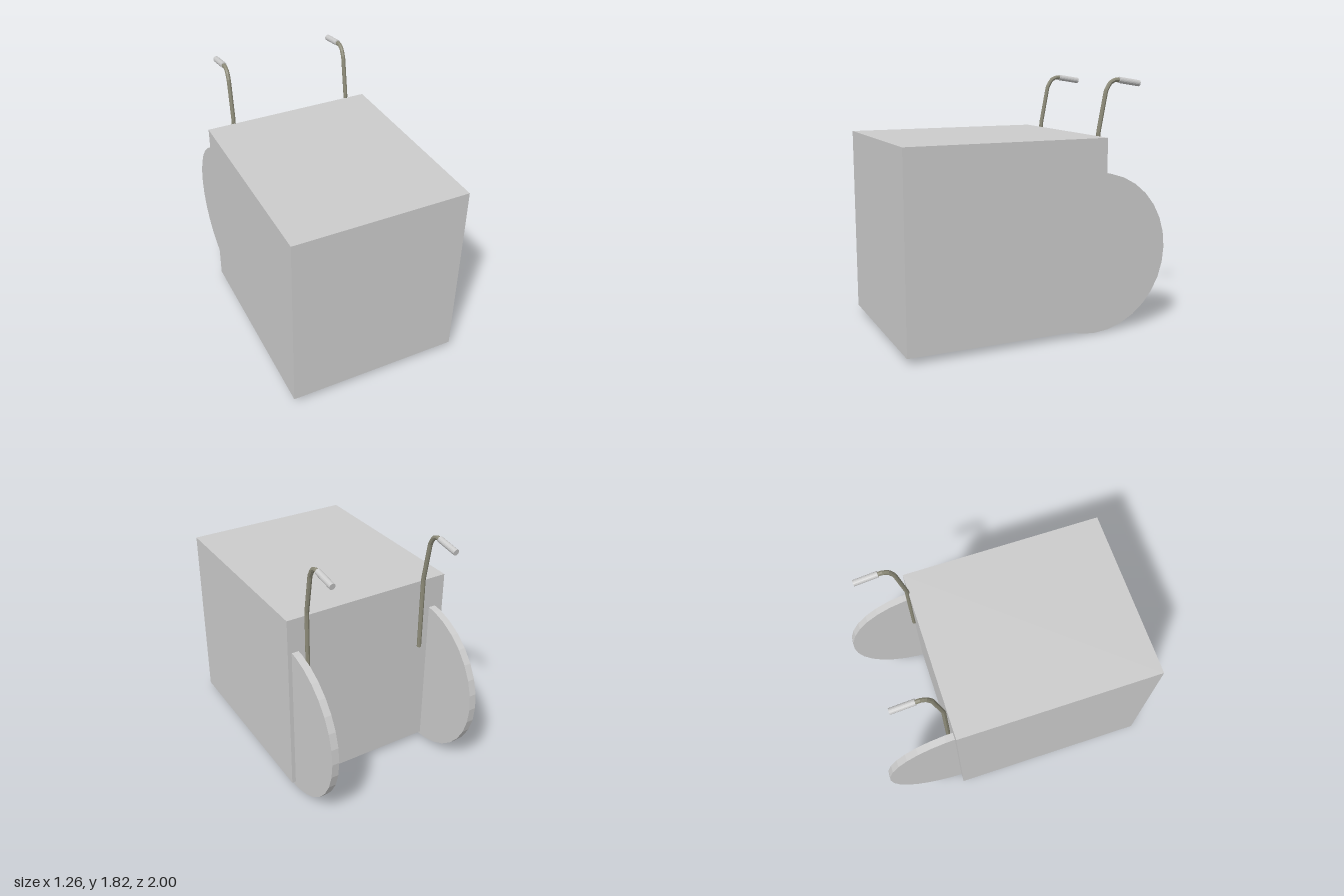
import * as THREE from 'three';

const grey = new THREE.MeshStandardMaterial({ color: 0xcccccc, flatShading: true });
const olive = new THREE.MeshStandardMaterial({ color: 0x8c8a78, flatShading: true });

function addMesh(parent, name, geometry, material) {
  const mesh = new THREE.Mesh(geometry, material);
  mesh.name = name;
  parent.add(mesh);
  return mesh;
}

// Thin upright disc whose axle runs along x
function addWheel(parent, name, x, y, z) {
  const wheel = addMesh(parent, name, new THREE.CylinderGeometry(0.58, 0.58, 0.052, 32), grey);
  wheel.rotation.z = Math.PI / 2;
  wheel.position.set(x, y, z);
}

// Bent bar fixed to the back of the box, with a thicker grip at its end
function addHandle(parent, name, x, lean, zShift) {
  const handle = new THREE.Group();
  handle.name = name;
  handle.position.set(x, 0, zShift);
  parent.add(handle);

  const points = [
    [0, 0.88, -0.483], [0, 1.43, -0.483], [lean * 0.5, 1.72, -0.537],
    [lean * 0.8, 1.775, -0.568], [lean, 1.795, -0.605], [lean, 1.793, -0.65],
  ].map((p) => new THREE.Vector3(...p));
  const path = new THREE.CurvePath();
  for (let i = 1; i < points.length; i++) path.add(new THREE.LineCurve3(points[i - 1], points[i]));
  addMesh(handle, 'handleBar', new THREE.TubeGeometry(path, 48, 0.016, 8, false), olive);

  // Closed lower end of the bar
  const cap = addMesh(handle, 'handleBarEnd', new THREE.CircleGeometry(0.016, 8), olive);
  cap.rotation.x = Math.PI / 2;
  cap.position.copy(points[0]);

  // Grip slopes slightly down towards the back
  const grip = addMesh(handle, 'grip', new THREE.CylinderGeometry(0.022, 0.022, 0.172, 16), grey);
  grip.position.set(lean, 1.782, -0.724);
  grip.rotation.x = -Math.PI / 2 - 0.15;
}

export function createModel() {
  const model = new THREE.Group();
  model.name = 'handcartBox';

  const box = addMesh(model, 'box', new THREE.BoxGeometry(1.26, 1.363, 1.47), grey);
  box.position.set(0, 0.7235, 0.265);

  // The two sides sit slightly unevenly
  addWheel(model, 'leftWheel', 0.575, 0.58, -0.405);
  addWheel(model, 'rightWheel', -0.539, 0.595, -0.42);

  addHandle(model, 'leftHandle', 0.487, 0.004, 0.005);
  addHandle(model, 'rightHandle', -0.428, 0.008, -0.01);

  return model;
}
